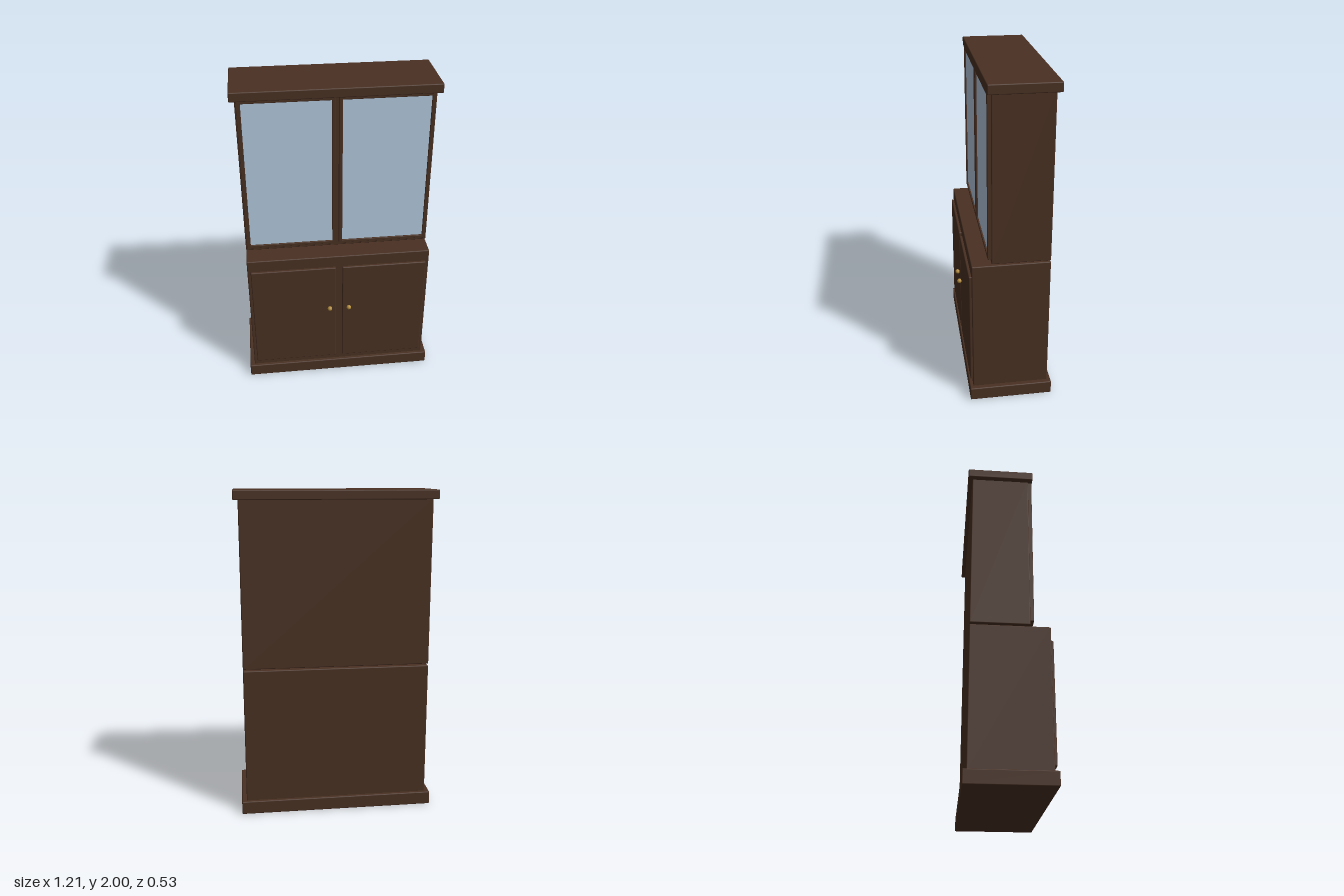
import * as THREE from 'three';
import { RoundedBoxGeometry } from 'three/addons/geometries/RoundedBoxGeometry.js';

const wood = new THREE.MeshStandardMaterial({ color: 0x4a3123 });
const glass = new THREE.MeshStandardMaterial({ color: 0xb3c9e0 });
const brass = new THREE.MeshStandardMaterial({ color: 0xb08a3c });

// Softly rounded box given by its extents on each axis
function box(name, [x0, x1], [y0, y1], [z0, z1], material = wood, radius = 0.006) {
  const geometry = new RoundedBoxGeometry(x1 - x0, y1 - y0, z1 - z0, 2, radius);
  const mesh = new THREE.Mesh(geometry, material);
  mesh.name = name;
  mesh.position.set((x0 + x1) / 2, (y0 + y1) / 2, (z0 + z1) / 2);
  return mesh;
}

// Glazed door: two stiles, two rails and a recessed pane
function glassDoor(side) {
  const door = new THREE.Group();
  door.name = side > 0 ? 'leftGlassDoor' : 'rightGlassDoor';
  const span = (a, b) => (side > 0 ? [a, b] : [-b, -a]);
  const z = [0.1, 0.13];
  const r = 0.003;
  door.add(
    box('innerStile', span(0.01, 0.031), [0.967, 1.95], z, wood, r),
    box('outerStile', span(0.542, 0.566), [0.967, 1.95], z, wood, r),
    box('bottomRail', span(0.012, 0.564), [0.967, 0.987], z, wood, r),
    box('topRail', span(0.012, 0.564), [1.93, 1.95], z, wood, r),
    box('glassPane', span(0.025, 0.548), [0.98, 1.936], [0.105, 0.12], glass, 0.001)
  );
  return door;
}

// Solid lower door with a round knob near the middle of the cabinet
function panelDoor(side) {
  const door = new THREE.Group();
  door.name = side > 0 ? 'leftPanelDoor' : 'rightPanelDoor';
  const x = side > 0 ? [0.021, 0.554] : [-0.554, -0.021];
  const knob = new THREE.Mesh(new THREE.SphereGeometry(0.015, 20, 14), brass);
  knob.name = 'knob';
  knob.position.set(side * 0.062, 0.54, 0.252);
  door.add(box('doorPanel', x, [0.12, 0.853], [0.21, 0.24]), knob);
  return door;
}

export function createModel() {
  const cabinet = new THREE.Group();
  cabinet.name = 'displayCabinet';
  cabinet.add(
    box('plinth', [-0.604, 0.604], [0, 0.083], [-0.263, 0.245]),
    box('lowerCarcass', [-0.574, 0.574], [0.075, 0.929], [-0.241, 0.224]),
    box('upperCarcass', [-0.574, 0.574], [0.939, 1.955], [-0.241, 0.108]),
    box('crown', [-0.604, 0.604], [1.944, 2], [-0.267, 0.133])
  );
  for (const side of [-1, 1]) cabinet.add(glassDoor(side), panelDoor(side));
  return cabinet;
}
